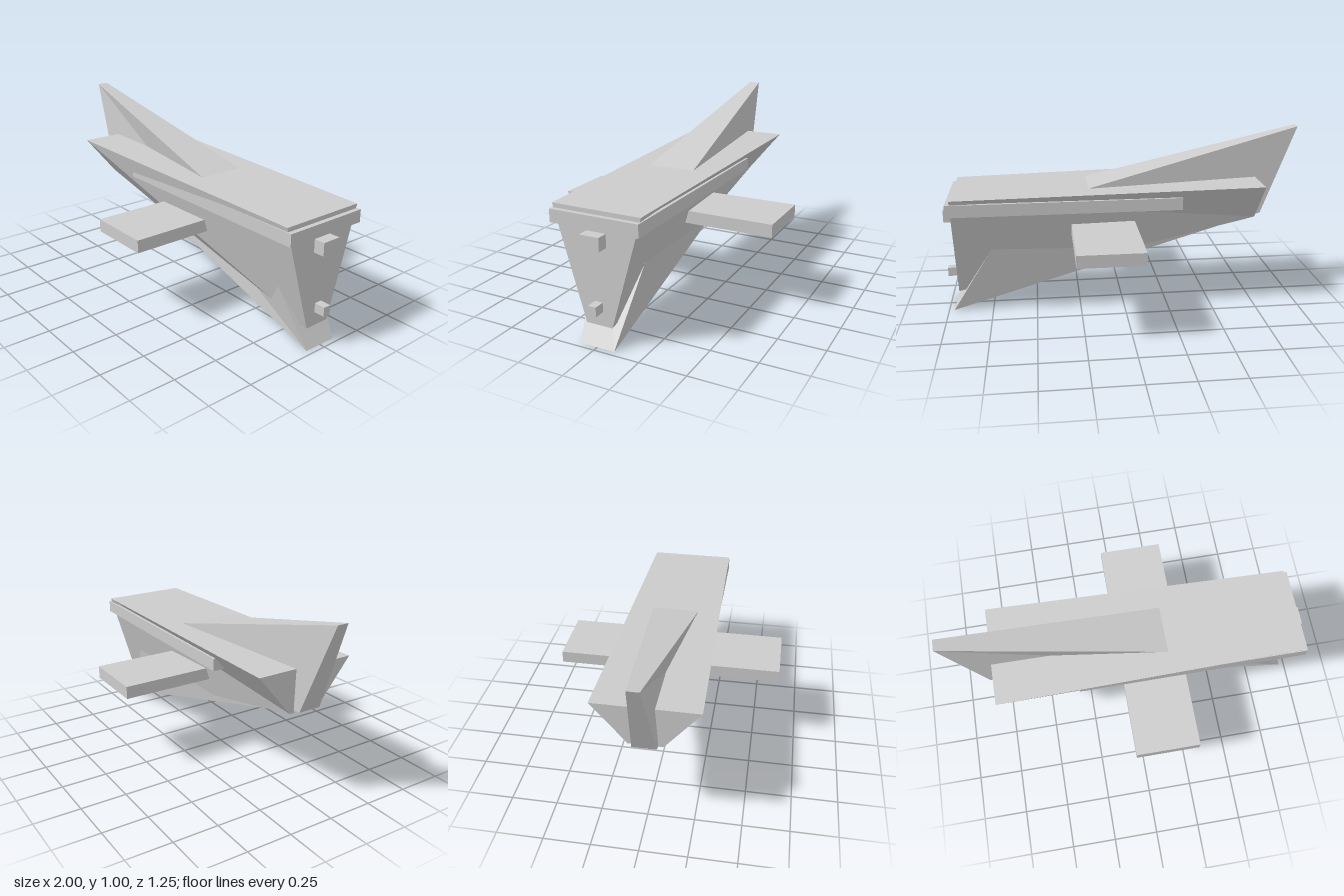
import * as THREE from 'three';

const material = new THREE.MeshStandardMaterial({ color: 0xcccccc, flatShading: true, side: THREE.DoubleSide });

function addMesh(group, name, geometry) {
  const mesh = new THREE.Mesh(geometry, material);
  mesh.name = name;
  group.add(mesh);
  return mesh;
}

// Box given by its x and y ranges and its half width in z
function addBlock(group, name, [x0, x1], [y0, y1], halfZ) {
  const mesh = addMesh(group, name, new THREE.BoxGeometry(x1 - x0, y1 - y0, halfZ * 2));
  mesh.position.set((x0 + x1) / 2, (y0 + y1) / 2, 0);
}

// Tapered block: each corner is [x, y, half width], in the order
// rear top, rear bottom, nose bottom, nose top (counter-clockwise seen from +z).
// The side walls are twisted, so their diagonals are chosen explicitly.
function taperedBlock(corners) {
  const points = [];
  for (const side of [1, -1]) {
    for (const [x, y, halfZ] of corners) points.push(x, y, halfZ * side);
  }
  const faces = [
    0, 1, 2, 0, 2, 3, // +z wall, split from rear top to nose bottom
    5, 4, 7, 5, 7, 6, // -z wall, split from nose top to rear bottom
  ];
  for (let i = 0; i < 4; i++) {
    const j = (i + 1) % 4;
    faces.push(i, i + 4, j, j, i + 4, j + 4);
  }
  const geometry = new THREE.BufferGeometry();
  geometry.setAttribute('position', new THREE.Float32BufferAttribute(points, 3));
  geometry.setIndex(faces);
  const flat = geometry.toNonIndexed();
  flat.computeVertexNormals();
  return flat;
}

export function createModel() {
  const model = new THREE.Group();
  model.name = 'craft';

  // Main body, wide at the top and narrow at the keel
  addMesh(model, 'hull', taperedBlock([
    [-0.76, 0.725, 0.278], [-0.76, 0.495, 0.09], [0.94, 0.105, 0.073], [0.94, 0.693, 0.243],
  ]));

  // Slanted fin running through the hull from tail tip to keel tip
  addMesh(model, 'tailFinAndKeel', taperedBlock([
    [-1, 1.005, 0.031], [-0.8, 0.51, 0.063], [0.97, 0, 0.097], [0.6, 0.607, 0.167],
  ]));

  // Side rails, formed by one slab through the hull
  addBlock(model, 'sideRails', [-0.31, 0.965], [0.602, 0.67], 0.243);

  // Stub wings
  addBlock(model, 'wings', [-0.06, 0.295], [0.443, 0.512], 0.627);

  // Small blocks on the end wall
  addBlock(model, 'upperEndBlock', [0.9, 1], [0.515, 0.585], 0.053);
  addBlock(model, 'lowerEndBlock', [0.9, 1], [0.18, 0.23], 0.022);

  return model;
}
